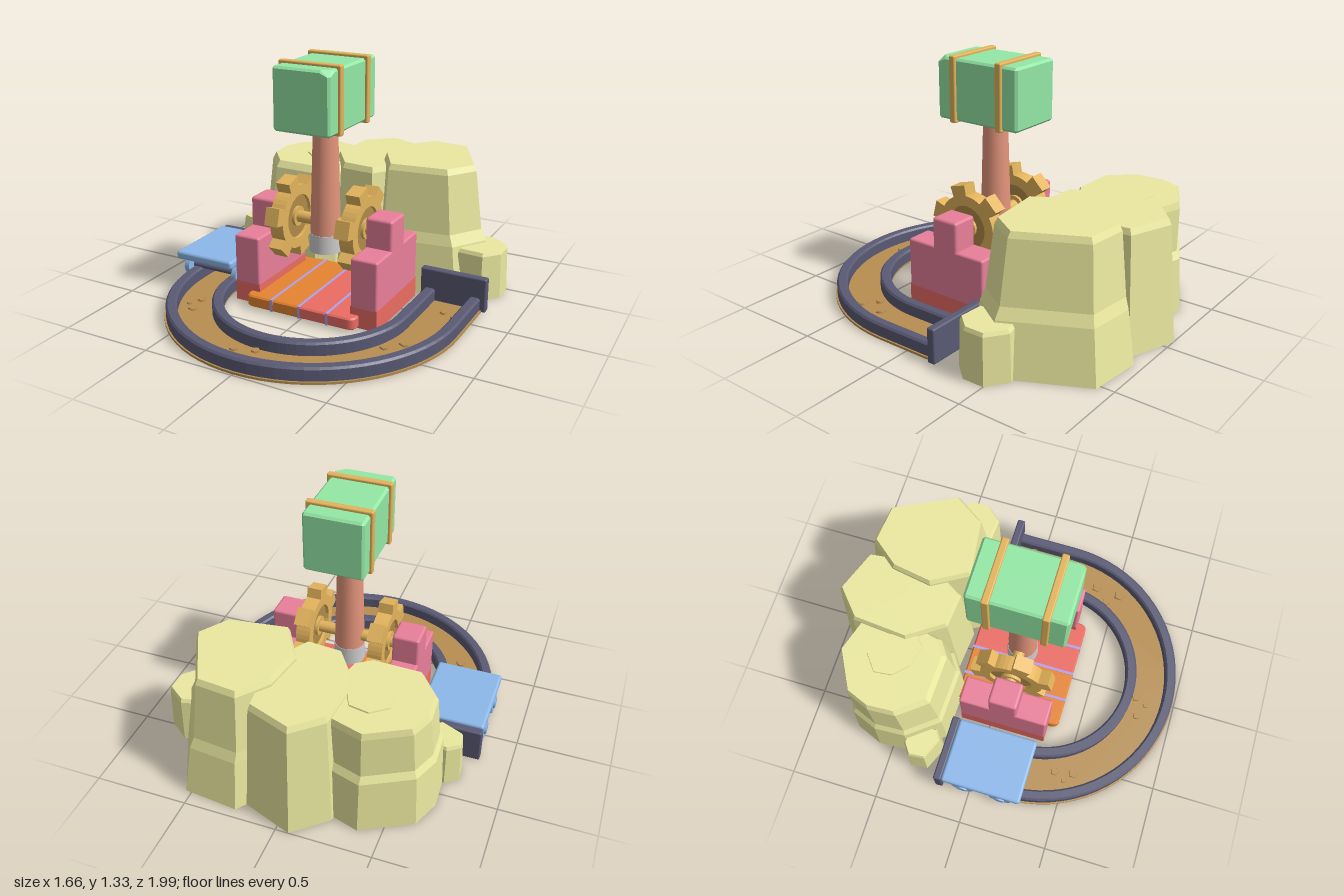
import * as THREE from 'three';
import { RoundedBoxGeometry } from 'three/addons/geometries/RoundedBoxGeometry.js';
import { ConvexGeometry } from 'three/addons/geometries/ConvexGeometry.js';

const mat = (color, extra = {}) => new THREE.MeshStandardMaterial({ color, ...extra });
const rock = mat(0xebe99f, { flatShading: true, side: THREE.DoubleSide });
const slate = mat(0x595974), soil = mat(0xb78e50), blue = mat(0x8cb8ea), pink = mat(0xe97f9a);
const red = mat(0xec6c62), orange = mat(0xe68430), violet = mat(0xb29fe8), gold = mat(0xe3b45c);
const darkGold = mat(0xb08a48), wood = mat(0xe4957c), grey = mat(0xcccccc), green = mat(0x94e8a6);

function add(parent, name, geometry, material, x = 0, y = 0, z = 0) {
  const m = new THREE.Mesh(geometry, material);
  m.name = name;
  m.position.set(x, y, z);
  parent.add(m);
  return m;
}
const rbox = (w, h, d, r = 0.015) => new RoundedBoxGeometry(w, h, d, 2, r);
const xCylinder = (r, len, n = 20) => new THREE.CylinderGeometry(r, r, len, n).rotateZ(Math.PI / 2);

// Extrude a shape drawn in (x, z) between two heights
function slab(shape, y0, y1, bevel) {
  return new THREE.ExtrudeGeometry(shape, {
    depth: y1 - y0 - 2 * bevel, curveSegments: 18, bevelEnabled: bevel > 0,
    bevelSize: bevel, bevelOffset: -bevel, bevelThickness: bevel, bevelSegments: 1,
  }).rotateX(Math.PI / 2).translate(0, y1 - bevel, 0);
}

// U-shaped band: two straight legs joined by a half ring; ci and co are the arc centres in z
function uBand(ri, ci, ro, co, y0, y1, bevel) {
  const s = new THREE.Shape(), back = -0.17;
  s.moveTo(ro, back).lineTo(ro, co);
  s.absarc(0, co, ro, 0, Math.PI, false);
  s.lineTo(-ro, back).lineTo(-ri, back).lineTo(-ri, ci);
  s.absarc(0, ci, ri, Math.PI, 0, true);
  s.lineTo(ri, back);
  return slab(s, y0, y1, bevel);
}

// Plank between x0 and x1; corners on the x1 side are rounded by r
function plankGeometry(x0, x1, z0, z1, r) {
  const s = new THREE.Shape(), d = Math.sign(x1 - x0) * r;
  s.moveTo(x0, z0).lineTo(x1 - d, z0);
  s.quadraticCurveTo(x1, z0, x1, z0 + r).lineTo(x1, z1 - r);
  s.quadraticCurveTo(x1, z1, x1 - d, z1).lineTo(x0, z1);
  return slab(s, 0.015, 0.08, 0.008);
}

// Hollow faceted rock: one outline stacked in rings [height, scale, dx, dz] with a capped top
function rockGeometry(outline, rings) {
  const n = outline.length, pos = [], idx = [];
  const cx = outline.reduce((a, p) => a + p[0], 0) / n;
  const cz = outline.reduce((a, p) => a + p[1], 0) / n;
  for (const [y, s, dx = 0, dz = 0] of rings)
    for (const [x, z] of outline) pos.push(cx + (x - cx) * s + dx, y, cz + (z - cz) * s + dz);
  for (let r = 0; r < rings.length - 1; r++)
    for (let i = 0; i < n; i++) {
      const a = r * n + i, b = r * n + (i + 1) % n;
      idx.push(a, a + n, b, b, a + n, b + n);
    }
  const top = (rings.length - 1) * n, [y, , dx = 0, dz = 0] = rings[rings.length - 1];
  pos.push(cx + dx, y, cz + dz);
  for (let i = 0; i < n; i++) idx.push(top + i, top + n, top + (i + 1) % n);
  const g = new THREE.BufferGeometry();
  g.setAttribute('position', new THREE.Float32BufferAttribute(pos, 3));
  g.setIndex(idx);
  const flat = g.toNonIndexed();
  flat.computeVertexNormals();
  return flat;
}

// Cog ring with blocky teeth, axis along x
function gearGeometry(teeth, rBody, rTip, rHole, width) {
  const s = new THREE.Shape(), step = Math.PI * 2 / teeth;
  for (let i = 0; i < teeth; i++)
    [[-0.5, rBody], [-0.36, rBody], [-0.24, rBody], [-0.2, rTip], [0.2, rTip], [0.24, rBody], [0.36, rBody]].forEach(([f, r], k) => {
      const a = (i + f) * step;
      s[i + k ? 'lineTo' : 'moveTo'](r * Math.cos(a), r * Math.sin(a));
    });
  s.holes.push(new THREE.Path().absarc(0, 0, rHole, 0, Math.PI * 2, true));
  return new THREE.ExtrudeGeometry(s, { depth: width, bevelEnabled: false, curveSegments: 12 })
    .translate(0, 0, -width / 2).rotateY(Math.PI / 2);
}

// Chamfered block with one corner chipped off
function chippedBlock(w, h, d, b, [cx, cy, cz]) {
  const pts = [];
  for (const x of [-1, 1]) for (const y of [-1, 1]) for (const z of [-1, 1]) {
    const P = (i, j, k) => pts.push(new THREE.Vector3(x * (w / 2 - i), y * (h / 2 - j), z * (d / 2 - k)));
    if (x + y + z === 3) {
      P(cx, 0, b); P(cx, b, 0); P(0, cy, b); P(b, cy, 0); P(0, b, cz); P(b, 0, cz);
    } else {
      P(0, b, b); P(b, 0, b); P(b, b, 0);
    }
  }
  return new ConvexGeometry(pts);
}

export function createModel() {
  const model = new THREE.Group();
  const axisZ = 0.073, axisY = 0.45;

  // Curved track with raised rails, pebbles and end plates
  const track = new THREE.Group();
  track.name = 'track';
  model.add(track);
  add(track, 'trackBed', uBand(0.485, 0.208, 0.803, 0.188, 0, 0.012, 0), soil);
  add(track, 'innerRail', uBand(0.48, 0.212, 0.54, 0.212, 0.002, 0.08, 0.01), slate);
  add(track, 'outerRail', uBand(0.735, 0.188, 0.794, 0.188, 0.002, 0.08, 0.01), slate);
  for (const x of [-0.65, 0.64]) add(track, 'endPlate', rbox(0.37, 0.19, 0.046, 0.01), slate, x, 0.095, -0.177);
  const pebbles = [[0.64, -0.03, 0.02], [0.72, -0.06, 0.022], [0.705, 0, 0.016], [0.6, 0.375, 0.032],
    [0.525, 0.455, 0.025], [0.59, 0.52, 0.036], [-0.57, 0.435, 0.025], [-0.55, 0.54, 0.03],
    [-0.605, 0.5, 0.016], [-0.115, 0.805, 0.025], [-0.04, 0.84, 0.018], [-0.01, 0.775, 0.024]];
  pebbles.forEach(([x, z, r], i) => {
    add(track, 'pebble', new THREE.CylinderGeometry(r * 0.9, r, 0.012, 5), soil, x, 0.016, z).rotation.y = i * 1.3;
  });

  // Flat cart parked on the left end
  const cart = new THREE.Group();
  cart.name = 'cart';
  cart.position.set(-0.652, 0, 0.073);
  model.add(cart);
  add(cart, 'cartDeck', rbox(0.365, 0.048, 0.455, 0.016), blue, 0, 0.176, 0);
  for (const z of [-0.11, 0.11]) {
    add(cart, 'cartAxle', xCylinder(0.016, 0.34, 10), slate, 0, 0.086, z);
    for (const s of [-1, 1]) {
      add(cart, 'cartWheel', xCylinder(0.062, 0.03, 18), blue, s * 0.158, 0.086, z);
      add(cart, 'wheelHub', xCylinder(0.03, 0.018, 14), blue, s * 0.173, 0.086, z);
    }
  }

  // Striped platform of four planks with thin seams
  [[0, -0.165, orange, 0], [-0.165, -0.325, orange, 0.045], [0, 0.165, red, 0], [0.165, 0.32, red, 0.045]]
    .forEach(([x0, x1, m, r]) => add(model, 'plank', plankGeometry(x0, x1, -0.23, 0.382, r), m));
  for (const x of [-0.165, 0, 0.165])
    add(model, 'plankSeam', new THREE.BoxGeometry(0.016, 0.067, 0.614), violet, x, 0.048, 0.076);

  // Stepped supports and gears, mirrored
  for (const s of [-1, 1]) {
    const x = s * 0.345;
    add(model, 'supportBase', new THREE.BoxGeometry(0.149, 0.115, 0.494), red, x, 0.0675, 0.077);
    add(model, 'supportBlock', rbox(0.15, 0.275, 0.495, 0.012), pink, x, 0.2475, 0.077);
    add(model, 'supportPost', rbox(0.15, 0.42, 0.158), pink, x, 0.335, 0.077);
    const gear = new THREE.Group();
    gear.name = 'gear';
    gear.position.set(s * 0.205, axisY, axisZ);
    gear.rotation.x = -0.26;
    add(gear, 'gearRim', gearGeometry(6, 0.175, 0.232, 0.12, 0.08), gold);
    add(gear, 'gearWeb', xCylinder(0.125, 0.045, 24), darkGold);
    add(gear, 'gearHub', xCylinder(0.055, 0.078, 16), gold);
    model.add(gear);
  }
  add(model, 'axle', xCylinder(0.032, 0.58, 16), gold, 0, axisY, axisZ);

  // Hammer: tapered handle, metal foot, block head with two bands
  const hammer = new THREE.Group();
  hammer.name = 'hammer';
  hammer.position.set(-0.005, 0, axisZ);
  model.add(hammer);
  add(hammer, 'handle', new THREE.CylinderGeometry(0.065, 0.083, 0.62, 20), wood, 0, 0.69, 0);
  add(hammer, 'handleFoot', new THREE.CylinderGeometry(0.085, 0.088, 0.1, 20), grey, 0, 0.34, 0);
  add(hammer, 'head', chippedBlock(0.322, 0.33, 0.512, 0.012, [0.055, 0.03, 0.05]), green, 0, 1.15, 0);
  for (const z of [-0.148, 0.148]) add(hammer, 'headBand', rbox(0.352, 0.355, 0.038, 0.008), gold, 0, 1.153, z);

  // Cluster of stepped rocks behind; outlines run from +x towards +z
  const rocks = new THREE.Group();
  rocks.name = 'rocks';
  model.add(rocks);
  const list = [
    ['leftRock', [[-0.70, -0.58], [-0.64, -0.73], [-0.38, -0.87], [-0.15, -0.80], [-0.08, -0.5], [-0.13, -0.28], [-0.23, -0.21], [-0.55, -0.22], [-0.69, -0.40]],
      [[0, 1], [0.30, 0.95], [0.34, 0.89], [0.575, 0.84, 0, -0.02], [0.612, 0.79, 0, -0.03]]],
    ['middleRock', [[-0.24, -0.85], [-0.07, -1.0], [0.2, -0.9], [0.25, -0.5], [0.1, -0.26], [-0.12, -0.28], [-0.27, -0.5]],
      [[0, 1], [0.62, 0.87], [0.652, 0.83]]],
    ['rightRock', [[0.24, -0.95], [0.53, -0.92], [0.76, -0.46], [0.62, -0.25], [0.18, -0.19], [0.03, -0.45], [0.08, -0.75]],
      [[0, 1], [0.28, 0.89, -0.01], [0.34, 0.84, -0.02], [0.665, 0.75, -0.03], [0.697, 0.71, -0.03]]],
    ['smallRightRock', [[0.6, -0.55], [0.72, -0.58], [0.83, -0.5], [0.83, -0.38], [0.75, -0.29], [0.6, -0.3]],
      [[0, 1], [0.25, 0.94], [0.27, 0.87]]],
    ['smallLeftRock', [[-0.77, -0.37], [-0.70, -0.42], [-0.6, -0.4], [-0.56, -0.25], [-0.62, -0.21], [-0.76, -0.27]],
      [[0, 1], [0.22, 0.9], [0.24, 0.82]]],
    ['rockPatch', [[-0.45, -0.52], [-0.46, -0.62], [-0.37, -0.69], [-0.26, -0.67], [-0.17, -0.48], [-0.25, -0.41], [-0.37, -0.44]],
      [[0.6, 1], [0.62, 0.96]]],
  ];
  for (const [name, outline, rings] of list) add(rocks, name, rockGeometry(outline, rings), rock);
  return model;
}
